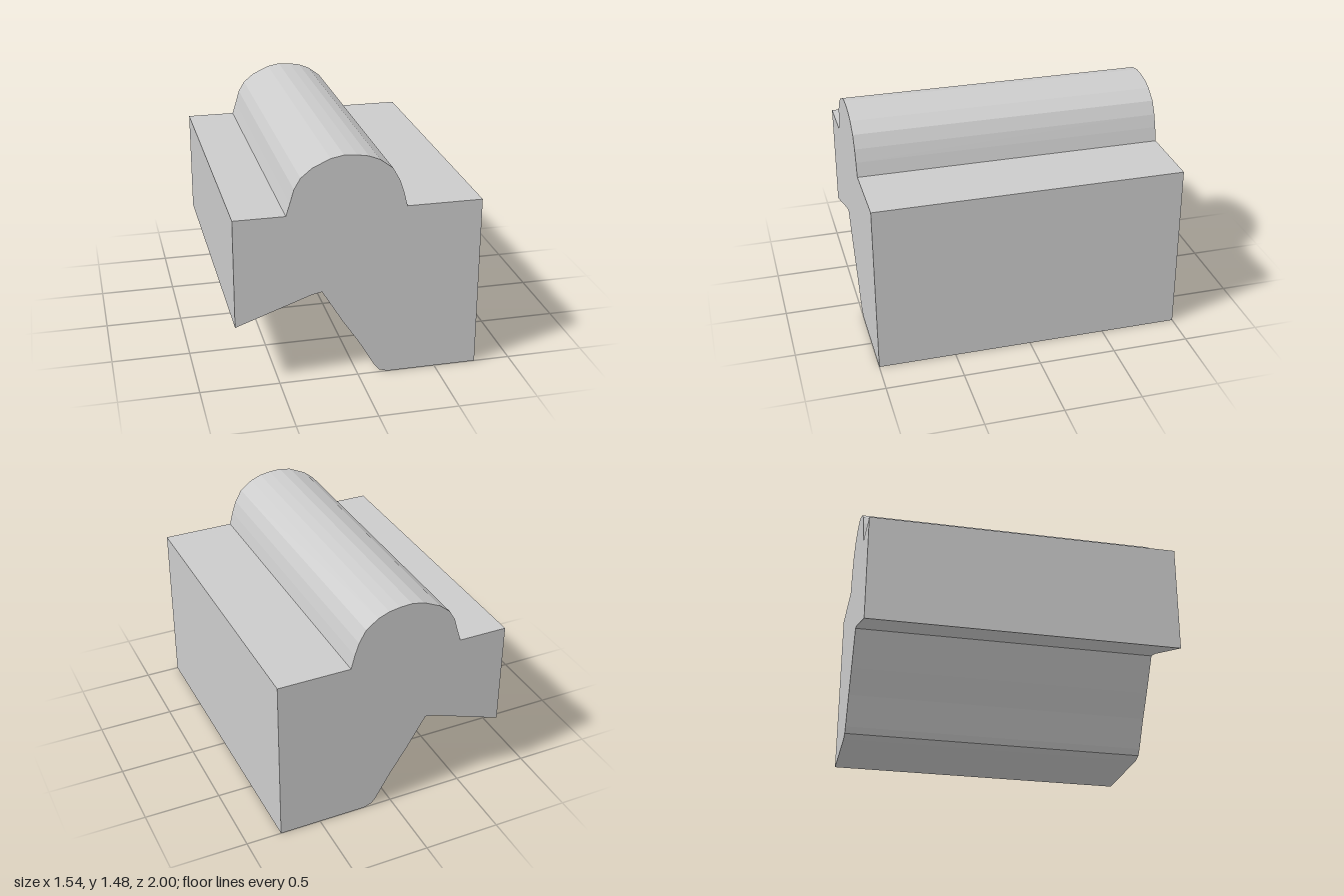
import * as THREE from 'three';

const LENGTH = 2;

// Extrudes an outline along z, centred on z = 0
function prism(name, points, material) {
  const shape = new THREE.Shape(points.map(([x, y]) => new THREE.Vector2(x, y)));
  const geometry = new THREE.ExtrudeGeometry(shape, { depth: LENGTH, bevelEnabled: false });
  geometry.translate(0, 0, -LENGTH / 2);
  const mesh = new THREE.Mesh(geometry, material);
  mesh.name = name;
  return mesh;
}

export function createModel() {
  const group = new THREE.Group();
  group.name = 'profiledBlock';
  const material = new THREE.MeshStandardMaterial({ color: 0xcccccc, flatShading: true });

  // Notched underside, from the left foot to the raised right flank
  const underside = [
    [-0.77, 0.42], [-0.3, 0.588], [-0.232, 0.603], [-0.1, 0.385],
    [0, 0.235], [0.105, 0.055], [0.135, 0.018], [0.19, 0],
  ];
  // Faceted rounded ridge, from its left foot over the crown
  const ridge = [
    [0.295, 1.12], [0.272, 1.21], [0.245, 1.29], [0.2, 1.37], [0.12, 1.43],
    [0.05, 1.458], [-0.02, 1.47], [-0.1, 1.475], [-0.18, 1.46], [-0.29, 1.41],
    [-0.36, 1.353], [-0.4, 1.285], [-0.425, 1.2], [-0.45, 1.12],
  ];

  // Body and ridge share one continuous cross-section
  group.add(prism('blockWithRidge', [
    ...underside, [0.77, 0], [0.77, 1.12], ...ridge, [-0.77, 1.12],
  ], material));
  return group;
}
